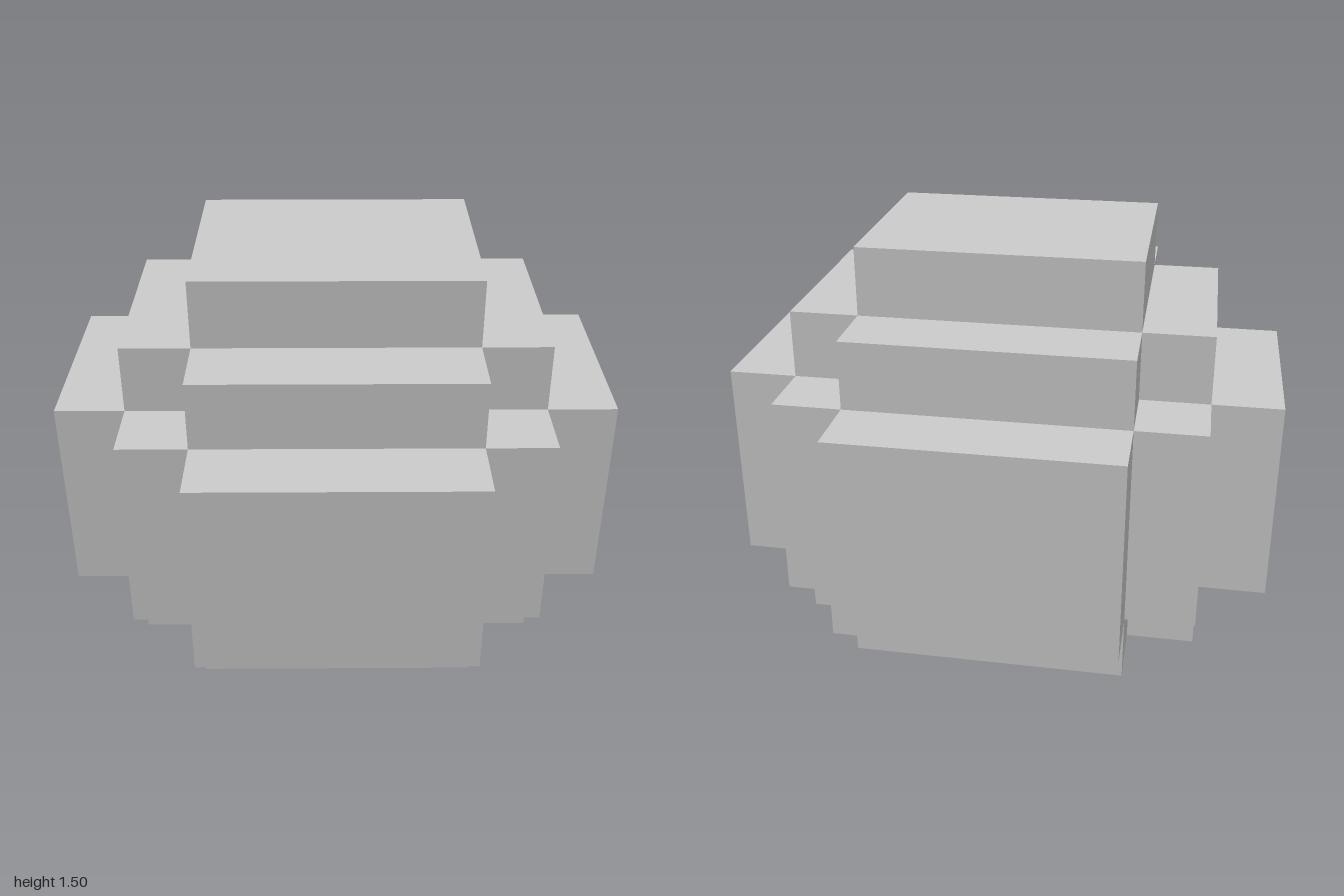
import * as THREE from 'three';

const material = new THREE.MeshStandardMaterial({ color: 0xcccccc, flatShading: true });

// One horizontal slab; its stepped outline is one corner mirrored four ways.
function slab(name, corner, bottom, top) {
  const mirror = (sx, sz) => corner.map(([x, z]) => new THREE.Vector2(x * sx, z * sz));
  const outline = [
    ...mirror(1, 1),
    ...mirror(-1, 1).reverse(),
    ...mirror(-1, -1),
    ...mirror(1, -1).reverse(),
  ];
  const geometry = new THREE.ExtrudeGeometry(new THREE.Shape(outline), {
    depth: top - bottom,
    bevelEnabled: false,
  });
  geometry.rotateX(-Math.PI / 2);
  const mesh = new THREE.Mesh(geometry, material);
  mesh.name = name;
  mesh.position.y = bottom;
  return mesh;
}

export function createModel() {
  const group = new THREE.Group();
  group.name = 'steppedBlock';

  // Corner outlines, from the side (+x) round to the front
  const wide = [[1, 0.375], [0.75, 0.375], [0.75, 0.625], [0.5, 0.625], [0.5, 0.875]];
  const cross = [[0.75, 0.375], [0.5, 0.375], [0.5, 0.625]];
  const square = [[0.5, 0.375]];

  group.add(
    slab('base', cross, 0, 0.25),
    slab('body', wide, 0.25, 1),
    slab('shoulder', cross, 1, 1.25),
    slab('cap', square, 1.25, 1.5),
  );
  return group;
}
